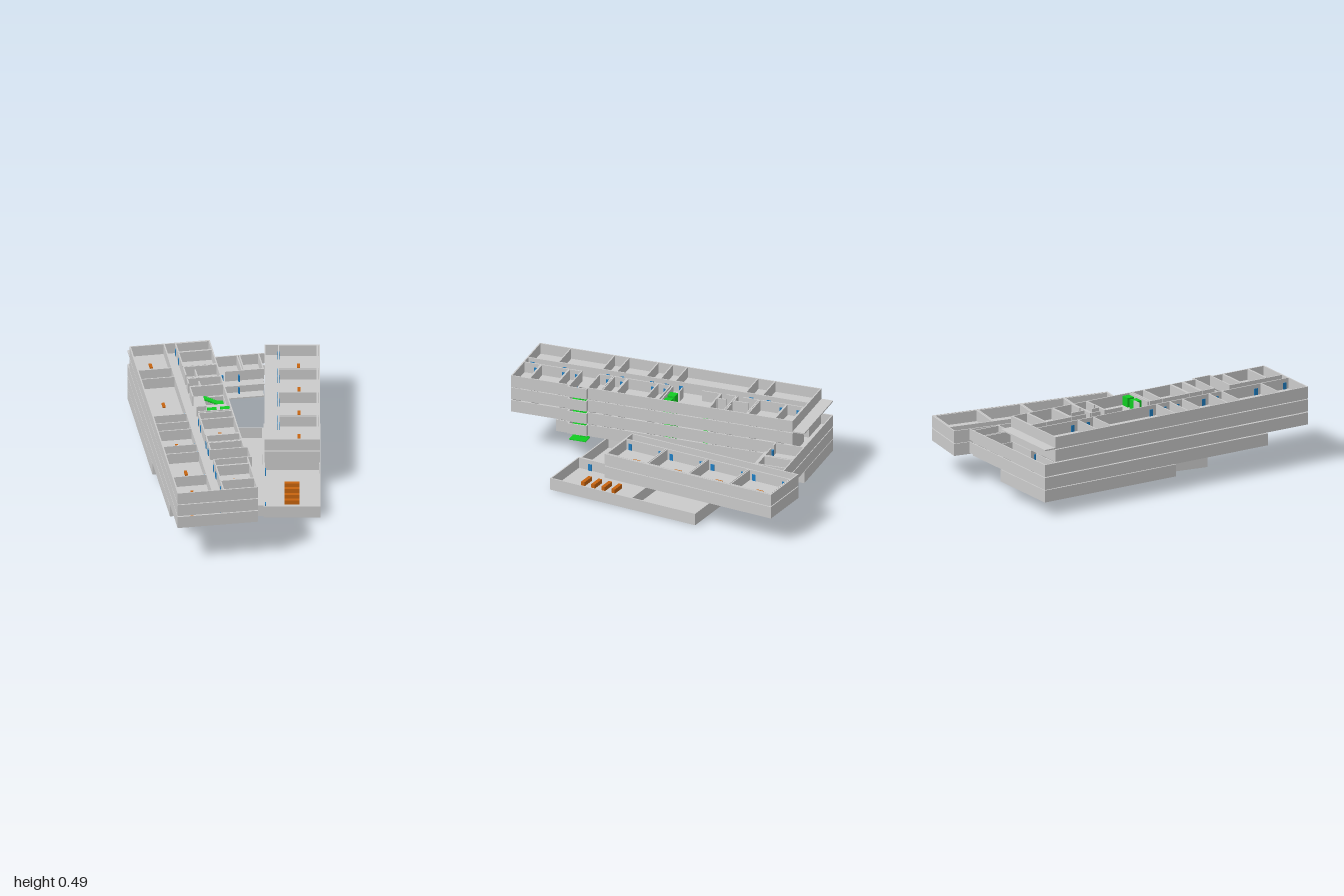
import * as THREE from 'three';

const mat = (color) => new THREE.MeshStandardMaterial({ color, flatShading: true });
const GREY = mat(0xcccccc), GREEN = mat(0x11cc22), BLUE = mat(0x1f7fc4), ORANGE = mat(0xc8640f);
const T = 0.008; // wall and slab thickness
const H = 0.076; // storey height
const LEVEL = [0, 0.088, 0.168, 0.25, 0.333, 0.414];

// Box given by its limits
function box(parent, name, x0, x1, y0, y1, z0, z1, m = GREY) {
  const mesh = new THREE.Mesh(new THREE.BoxGeometry(x1 - x0, y1 - y0, z1 - z0), m);
  mesh.position.set((x0 + x1) / 2, (y0 + y1) / 2, (z0 + z1) / 2);
  mesh.name = name;
  parent.add(mesh);
  return mesh;
}
const wallX = (p, x0, x1, z, h = H) => box(p, 'wall', x0, x1, T, h, z - T / 2, z + T / 2);
const wallZ = (p, x, z0, z1, h = H) => box(p, 'wall', x - T / 2, x + T / 2, T, h, z0, z1);
const door = (p, x, z) => box(p, 'door', x - 0.007, x + 0.007, T, 0.05, z - 0.012, z + 0.012, BLUE);
const marker = (p, x, z) => box(p, 'roomMarker', x - 0.009, x + 0.009, T, 0.016, z - 0.025, z + 0.025, ORANGE);

// Floor plate with rectangular openings, each [x0, x1, z0, z1]
function slab(p, x0, x1, z0, z1, holes = []) {
  const ring = (a, b, c, d) => [[a, -c], [b, -c], [b, -d], [a, -d]].map((q) => new THREE.Vector2(...q));
  const shape = new THREE.Shape(ring(x0, x1, z0, z1));
  for (const h of holes) shape.holes.push(new THREE.Path(ring(...h)));
  const geo = new THREE.ExtrudeGeometry(shape, { depth: T, bevelEnabled: false });
  geo.rotateX(-Math.PI / 2);
  const mesh = new THREE.Mesh(geo, GREY);
  mesh.name = 'floorSlab';
  p.add(mesh);
}

// Open tray centred on its own origin: slab with four outer walls
function tray(p, w, d) {
  slab(p, -w / 2, w / 2, -d / 2, d / 2);
  for (const s of [-1, 1]) {
    wallX(p, -w / 2, w / 2, s * (d / 2 - T / 2));
    wallZ(p, s * (w / 2 - T / 2), -d / 2, d / 2);
  }
}

function group(parent, name, x, y, z, ry = 0) {
  const g = new THREE.Group();
  g.name = name;
  g.position.set(x, y, z);
  g.rotation.y = ry;
  parent.add(g);
  return g;
}

// Switchback stair rising one storey, two flights and a half landing
function stair(parent, y, rise, z0, x0, x1) {
  const g = group(parent, 'stair', 0, y, z0);
  const n = 7, xm = x0 + 0.08, step = (xm - x0) / n, r = rise / 2 / n;
  for (let i = 0; i < n; i++) {
    const a = x0 + i * step, up = (i + 1) * r, down = rise - i * r;
    box(g, 'lowerStep', a, a + step, up - r - 0.003, up, 0.062, 0.108, GREEN);
    box(g, 'upperStep', a, a + step, down - r - 0.003, down, 0, 0.046, GREEN);
  }
  box(g, 'landing', xm, x1, rise / 2 - 0.004, rise / 2, 0, 0.108, GREEN);
}

const WELLS = [[-0.235, -0.115, -0.27, -0.155], [-0.235, -0.113, 0.51, 0.62]];
const LEFT_Z = [-0.82, -0.525, -0.415, 0.04, 0.135, 0.228, 0.417, 0.51, 0.793, 1];
const RIGHT_ROOMS = [[-0.81, -0.705], [-0.7, -0.53], [0.05, 0.128], [0.13, 0.322], [0.33, 0.41],
  [0.42, 0.505], [0.622, 0.7], [0.705, 0.88], [0.885, 0.995]];

// One storey of the long block between z0 and z1
function mainFloor(parent, y, z0, z1, name, frontOpen) {
  const g = group(parent, name, 0, y, 0);
  const X0 = -0.597, X1 = -0.105, bump = z1 > 0.65;
  slab(g, X0, X1, z0, z1, WELLS.filter((w) => w[3] < z1));
  // outer shell
  wallX(g, X0, X1, z0 + T / 2);
  wallZ(g, X0 + T / 2, z0, z1);
  if (frontOpen) {
    wallX(g, X0, -0.51, z1 - T / 2);
    wallX(g, -0.38, X1, z1 - T / 2);
  } else wallX(g, X0, X1, z1 - T / 2);
  if (bump) {
    wallZ(g, X1 - T / 2, z0, 0.51);
    wallZ(g, X1 - T / 2, 0.62, z1);
    // projecting stair bay
    wallZ(g, -0.086, 0.506, 0.626);
    for (const z of [0.506, 0.624]) wallX(g, X1, -0.082, z);
  } else wallZ(g, X1 - T / 2, z0, z1);
  // rooms along the outer side
  wallZ(g, -0.385, z0 + (z0 < -0.85 ? 0.075 : 0), z1);
  LEFT_Z.forEach((z, i) => {
    if (z < z1 - 0.02) wallX(g, X0, -0.385, z + T / 2);
    const next = Math.min(LEFT_Z[i + 1] ?? 0, z1);
    if (i < LEFT_Z.length - 1 && next - z > 0.05) {
      door(g, -0.385, next - 0.035);
      marker(g, -0.49, (z + next) / 2);
    }
  });
  // rooms along the inner side
  for (const [a, b] of RIGHT_ROOMS) {
    if (b > z1) continue;
    wallX(g, -0.315, X1, a);
    wallX(g, -0.315, X1, b);
    wallZ(g, -0.315, a, b);
    door(g, -0.315, a + 0.03);
    marker(g, -0.21, (a + b) / 2);
  }
  // washrooms, stair lobby and lift core
  for (const [a, b] of [[-0.52, -0.385], [-0.375, -0.28]]) {
    wallX(g, -0.315, X1, a);
    wallX(g, -0.315, -0.24, b);
    wallX(g, -0.2, X1, b);
    wallZ(g, -0.315, a, b - 0.035);
    wallZ(g, -0.25, a + 0.04, b);
  }
  wallZ(g, -0.315, -0.27, -0.155);
  wallX(g, -0.315, X1, -0.274);
  if (z1 > 0.04) {
    wallX(g, -0.315, X1, 0.032);
    wallX(g, -0.315, -0.255, -0.03);
    for (const x of [-0.25, -0.17]) box(g, 'lift', x, x + 0.055, T, H - 0.01, -0.024, 0.024, GREEN);
  }
  return g;
}

// Angled wing with a side corridor and four rooms
function wing(parent, y) {
  const g = group(parent, 'wing', 0.331, y, -0.395, -0.16);
  const w = 0.335, d = 1.16, xi = -w / 2 + 0.085;
  tray(g, w, d);
  wallZ(g, xi, -d / 2, d / 2);
  wallZ(g, w / 2 - 0.016, -d / 2, d / 2);
  for (let i = 0; i < 4; i++) {
    const z = -d / 2 + 0.01 + i * 0.287;
    wallX(g, xi, w / 2, z + 0.004);
    wallX(g, xi, w / 2, z + 0.28);
    door(g, xi, z + 0.04);
    door(g, xi, z + 0.25);
    marker(g, 0.04, z + 0.14);
  }
}

// Bridge joining the long block and the wing
function link(parent, y) {
  const g = group(parent, 'link', 0, y, 0);
  slab(g, -0.105, 0.2, -0.895, -0.64);
  wallX(g, -0.105, 0.24, -0.891);
  wallX(g, -0.105, -0.07, -0.708);
  wallX(g, -0.03, 0.21, -0.708);
  wallZ(g, 0.074, -0.89, -0.708);
  wallZ(g, 0.088, -0.89, -0.708);
  wallZ(g, 0.205, -0.89, -0.7);
  box(g, 'door', -0.066, -0.04, T, 0.05, -0.715, -0.701, BLUE);
  box(g, 'door', 0.05, 0.058, T, 0.05, -0.71, -0.685, BLUE);
  marker(g, 0.145, -0.79);
}

export function createModel() {
  const model = new THREE.Group();
  model.name = 'building';

  // Lowest storey: angled hall and the passage beside it
  const hall = group(model, 'lowerHall', 0.2575, LEVEL[0], 0.05, -0.16);
  tray(hall, 0.345, 1.01);
  wallX(hall, -0.17, 0.17, -0.06);
  for (const z of [0.42, 0.0, -0.3]) door(hall, -0.165, z);
  for (let i = 0; i < 4; i++) {
    const z = 0.14 + i * 0.07;
    box(hall, 'floorMarker', -0.045, 0.045, T, 0.035, z - 0.012, z + 0.012, ORANGE);
  }
  const passage = group(model, 'lowerPassage', -0.08, LEVEL[0], 0.012, -0.16);
  tray(passage, 0.335, 0.95);
  const step = group(model, 'entranceSlab', 0.033, LEVEL[0], -0.5, -0.16);
  slab(step, -0.05, 0.05, -0.07, 0.07);

  // Long block, storey by storey
  mainFloor(model, LEVEL[1], -0.895, 0.05, 'secondFloor', true);
  mainFloor(model, LEVEL[2], -0.895, 0.71, 'thirdFloor');
  mainFloor(model, LEVEL[3], -0.895, 1, 'fourthFloor');
  mainFloor(model, LEVEL[4], -0.82, 1, 'fifthFloor');
  const top = mainFloor(model, LEVEL[5], -0.82, 1, 'topFloor');
  slab(top, -0.597, -0.105, -0.895, -0.82);

  // Angled wing and bridge on two storeys
  for (const i of [2, 3]) {
    wing(model, LEVEL[i]);
    link(model, LEVEL[i]);
  }

  // Stairs in both wells
  for (let i = 1; i < 5; i++) {
    const rise = LEVEL[i + 1] - LEVEL[i];
    stair(model, LEVEL[i] + T, rise, 0.511, -0.23, -0.09);
    stair(model, LEVEL[i] + T, rise, -0.268, -0.233, -0.114);
  }
  return model;
}
